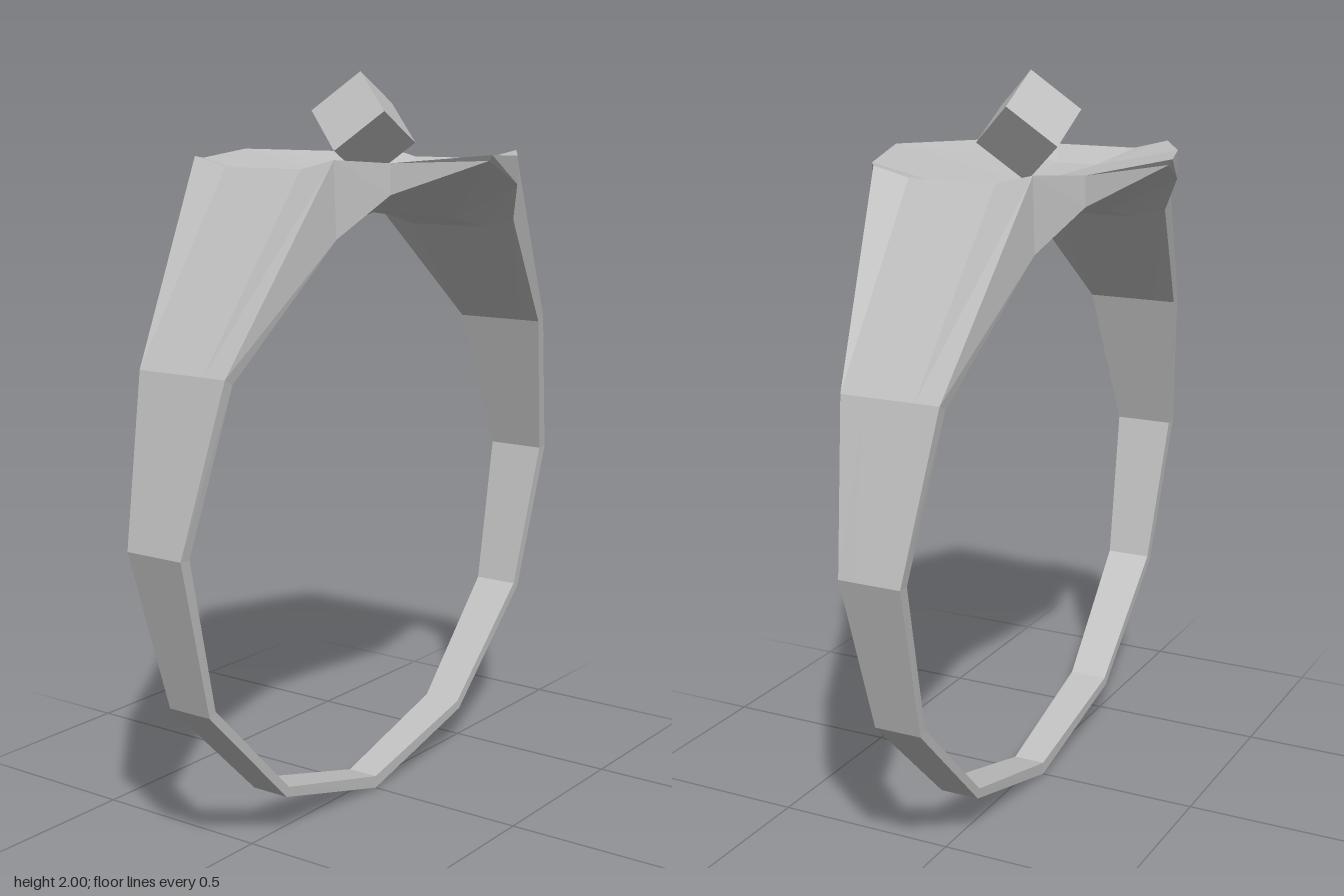
import * as THREE from 'three';

const silver = new THREE.MeshStandardMaterial({ color: 0xc0c0c0, flatShading: true });
silver.name = 'silver';

// Plain band station: outer point, inner point, half width
const plain = (ox, oy, ix, iy, w) => [
  [ox, oy, w * 0.5], [ox, oy, w], [ix, iy, w], [ix, iy, w * 0.5],
];

// Half-sections from the bottom of the ring up its left side to the top.
// Each runs: outer middle, outer edge, lower edge, inner middle (z >= 0 half)
const half = [
  plain(0, 0.003, 0, 0.038, 0.045),
  plain(0.42, 0.12, 0.41, 0.145, 0.055),
  plain(0.735, 0.433, 0.712, 0.445, 0.065),
  plain(0.852, 0.86, 0.82, 0.86, 0.085),
  plain(0.74, 1.285, 0.712, 1.27, 0.135),
  // shoulder
  [[0.425, 1.762, 0.12], [0.425, 1.787, 0.22], [0.415, 1.595, 0.22], [0.41, 1.57, 0.12]],
  // dished head with a flared lip
  [[0.3, 1.725, 0.06], [0.3, 1.777, 0.3], [0.3, 1.7, 0.3], [0.3, 1.6, 0.1]],
  [[0, 1.71, 0.02], [0, 1.79, 0.405], [0, 1.775, 0.395], [0, 1.637, 0.05]],
];

// Join closed sections into a closed loop
function loft(sections) {
  const n = sections.length, m = sections[0].length;
  const index = [];
  for (let i = 0; i < n; i++) {
    for (let j = 0; j < m; j++) {
      const a = i * m + j, b = ((i + 1) % n) * m + j;
      const c = i * m + (j + 1) % m, d = ((i + 1) % n) * m + (j + 1) % m;
      index.push(a, b, c, b, d, c);
    }
  }
  const geometry = new THREE.BufferGeometry();
  geometry.setAttribute('position', new THREE.Float32BufferAttribute(sections.flat(2), 3));
  geometry.setIndex(index);
  geometry.computeVertexNormals();
  return geometry;
}

export function createModel() {
  const group = new THREE.Group();
  group.name = 'ring';

  // Band and head: mirror each section in z, then the stations in x
  const left = half.map(s => [...s, ...s.map(([x, y, z]) => [x, y, -z]).reverse()]);
  const right = left.slice(1, -1).reverse().map(s => s.map(([x, y, z]) => [-x, y, z]));
  const band = new THREE.Mesh(loft([...left, ...right]), silver);
  band.name = 'band';
  group.add(band);

  // Tilted cube stone, standing on its edge
  const stone = new THREE.Mesh(new THREE.BoxGeometry(0.167, 0.167, 0.167), silver);
  stone.name = 'stone';
  stone.rotation.order = 'ZYX';
  stone.rotation.set(Math.PI / 4, 0, -Math.PI / 6);
  stone.position.set(0.003, 1.856, 0);
  group.add(stone);

  return group;
}
